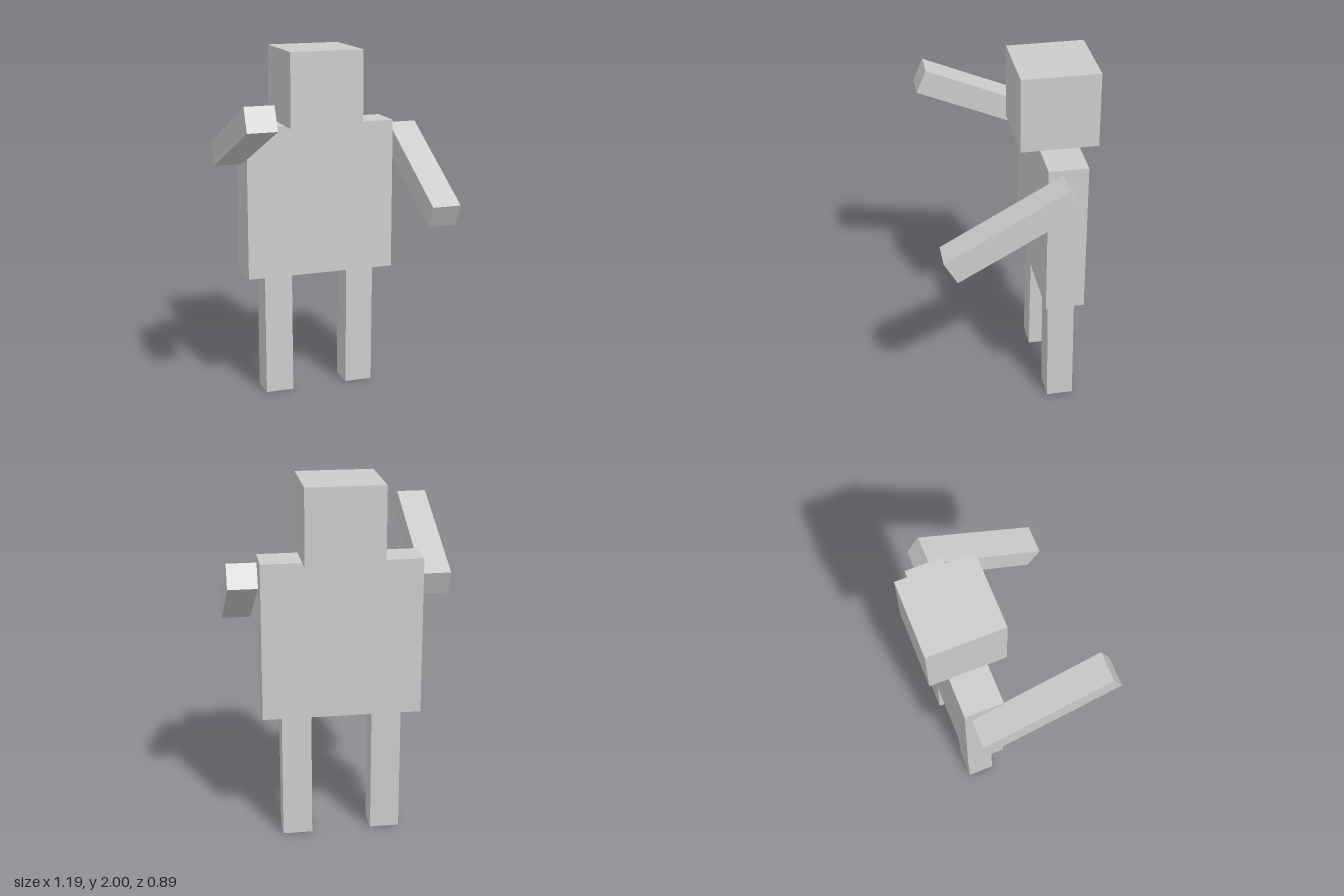
import * as THREE from 'three';

export function createModel() {
  const model = new THREE.Group();
  const material = new THREE.MeshStandardMaterial({ color: 0xcccccc, flatShading: true });

  // A named box, placed by its centre and tilted about the x axis
  function block(name, size, centre, tilt = 0) {
    const mesh = new THREE.Mesh(new THREE.BoxGeometry(...size), material);
    mesh.name = name;
    mesh.position.set(...centre);
    mesh.rotation.x = THREE.MathUtils.degToRad(tilt);
    model.add(mesh);
  }

  block('head', [0.425, 0.42, 0.425], [-0.0075, 1.79, -0.235]);
  block('torso', [0.87, 0.87, 0.213], [-0.0075, 1.145, -0.235]);

  // Arms reach forward: the right one raised, the left one lowered
  block('rightArm', [0.163, 0.14, 0.755], [-0.518, 1.57, 0.0725], -23.2);
  block('leftArm', [0.163, 0.143, 0.745], [0.514, 1.31, 0.085], 29.3);

  // Legs, very slightly out of line with each other
  block('rightLeg', [0.163, 0.71, 0.15], [-0.256, 0.356, -0.234], -0.6);
  block('leftLeg', [0.163, 0.71, 0.15], [0.24, 0.356, -0.24], 0.6);

  return model;
}
